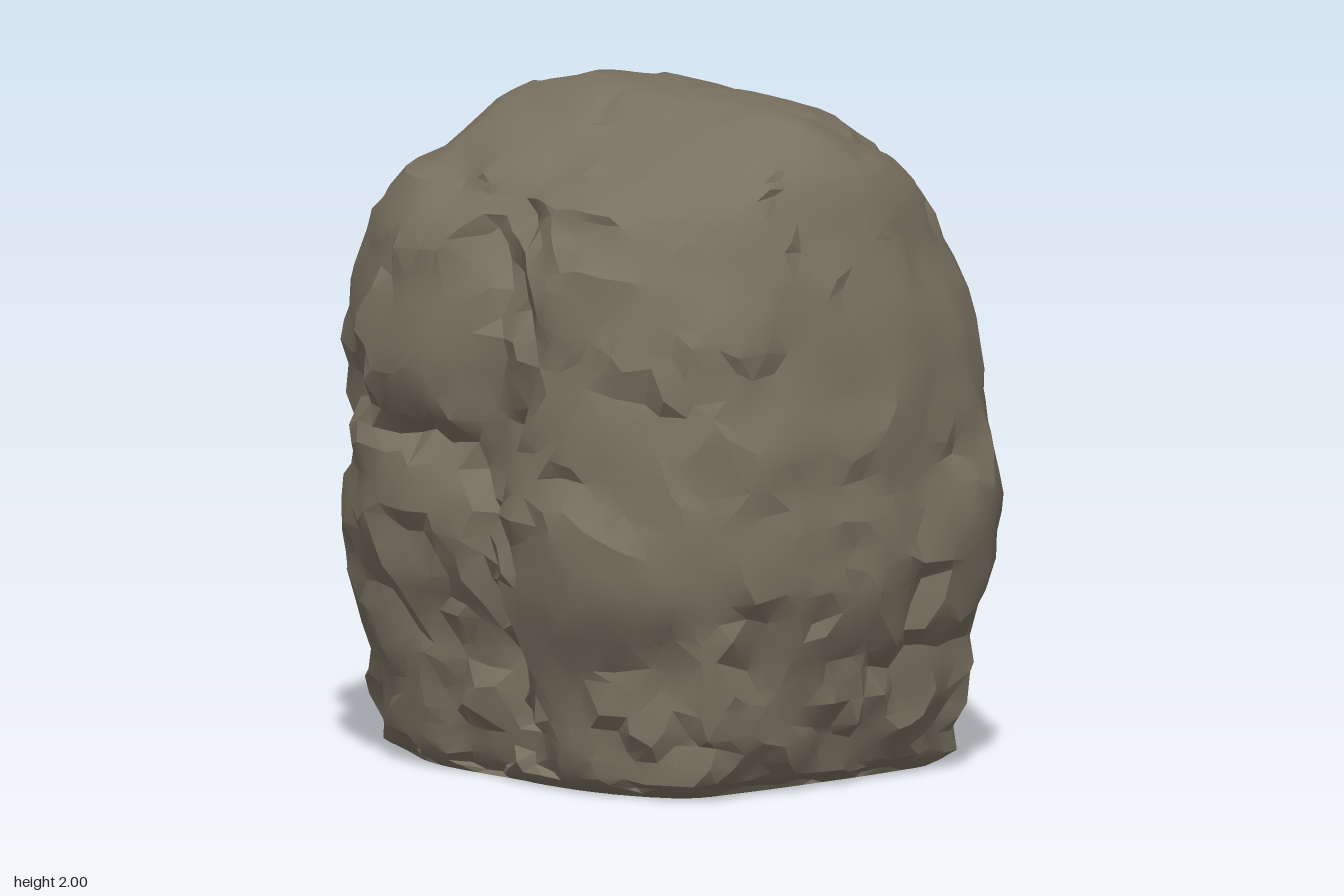
import * as THREE from 'three';
import { toCreasedNormals } from 'three/addons/utils/BufferGeometryUtils.js';

// plan outline (x, z), front half; the back half mirrors it
const FRONT = [[0.88, 0], [0.85, 0.3], [0.79, 0.55], [0.6, 0.71], [0.4, 0.81], [0.2, 0.825], [0.1, 0.795],
  [0.01, 0.755], [-0.08, 0.775], [-0.2, 0.79], [-0.55, 0.765], [-0.78, 0.61], [-0.86, 0.42], [-0.88, 0]];
// squarer outline of the foot, without the notch between the lobes
const FOOT = [[0.88, 0], [0.87, 0.4], [0.83, 0.65], [0.62, 0.77], [0.4, 0.82], [0.2, 0.83], [0.1, 0.83],
  [0.01, 0.82], [-0.08, 0.82], [-0.2, 0.82], [-0.6, 0.78], [-0.83, 0.66], [-0.87, 0.42], [-0.88, 0]];
// height, then reach to -x, +x, +z, -z
const LEVELS = [
  [0, 0.62, 0.62, 0.62, 0.6], [0.05, 0.73, 0.7, 0.66, 0.65], [0.2, 0.8, 0.76, 0.7, 0.69],
  [0.4, 0.85, 0.82, 0.74, 0.75], [0.6, 0.865, 0.87, 0.82, 0.82], [0.8, 0.87, 0.88, 0.83, 0.825],
  [1, 0.88, 0.865, 0.79, 0.79], [1.2, 0.87, 0.835, 0.79, 0.775], [1.4, 0.845, 0.805, 0.765, 0.765],
  [1.6, 0.81, 0.75, 0.715, 0.73], [1.72, 0.76, 0.71, 0.66, 0.67], [1.81, 0.71, 0.67, 0.5, 0.57],
  [1.91, 0.64, 0.61, 0.3, 0.45], [1.97, 0.52, 0.53, 0.19, 0.28], [2, 0.34, 0.44, 0.07, 0.1]];
// cracks on the front and back faces as (x, y) paths, with depth and width
const FACE_CRACKS = [
  { d: 0.06, w: 0.07, p: [[-0.1, 1.62], [0.05, 1.5], [0.18, 1.35], [0.17, 1.15], [0.04, 1], [0, 0.75], [0.01, 0.58], [0.07, 0.4], [0.08, 0.15]] },
  { d: 0.065, w: 0.075, p: [[-0.75, 1.12], [-0.6, 1.06], [-0.4, 0.99], [-0.2, 1.01], [0, 0.9]] },
  { d: 0.035, w: 0.05, p: [[0.18, 1.32], [0.4, 1.25], [0.55, 1.18]] },
  { d: 0.03, w: 0.05, p: [[-0.7, 0.86], [-0.56, 0.62], [-0.45, 0.48]] },
  { d: 0.03, w: 0.05, p: [[0, 0.6], [-0.12, 0.64], [-0.25, 0.52]] },
  { d: 0.05, w: 0.07, p: [[-0.45, 1.8], [-0.28, 1.7], [-0.1, 1.72], [0.15, 1.62]] },
  { d: 0.03, w: 0.05, p: [[-0.5, 1.2], [-0.43, 1.45]] }];
// cracks on the +x side as (z, y) paths
const SIDE_CRACKS = [
  { d: 0.025, w: 0.05, p: [[-0.2, 0.2], [-0.2, 0.45], [-0.26, 0.7], [-0.38, 0.98]] },
  { d: 0.025, w: 0.05, p: [[0.6, 0.5], [0.3, 0.35], [0.05, 0.4], [-0.15, 0.33]] }];

function seeded(seed) {
  return () => {
    seed = (seed * 1664525 + 1013904223) >>> 0;
    return seed / 4294967296;
  };
}

function closedRing(half) {
  const back = half.slice(1, -1).reverse().map(([x, z]) => [x, -z]);
  return new THREE.CatmullRomCurve3([...half, ...back].map(([x, z]) => new THREE.Vector3(x, 0, z)), true);
}

function distanceToPath(u, v, path) {
  let best = Infinity;
  for (let i = 0; i < path.length - 1; i++) {
    const [ax, ay] = path[i], dx = path[i + 1][0] - ax, dy = path[i + 1][1] - ay;
    const t = THREE.MathUtils.clamp(((u - ax) * dx + (v - ay) * dy) / (dx * dx + dy * dy), 0, 1);
    best = Math.min(best, Math.hypot(u - ax - t * dx, v - ay - t * dy));
  }
  return best;
}

function crackDepth(u, v, cracks) {
  return Math.max(...cracks.map(c => c.d * Math.max(0, 1 - distanceToPath(u, v, c.p) / c.w)));
}

function levelAt(t) {
  const i = Math.min(Math.floor(t), LEVELS.length - 2);
  return LEVELS[i].map((a, k) => THREE.MathUtils.lerp(a, LEVELS[i + 1][k], t - i));
}

// chipped facets: each cell of the surface is tilted slightly its own way
function makeCells(rand) {
  const cells = [];
  for (let i = 0; i < 300; i++) {
    const a = rand() * Math.PI * 2;
    const y = i % 3 === 0 ? rand() * 0.38 : rand() * 2;
    const tilt = y < 0.38 ? 0.9 : 0.4;
    const r = y > 1.75 ? rand() * 0.7 : 0.8;
    cells.push({
      seed: new THREE.Vector3(Math.cos(a) * r, y, Math.sin(a) * r),
      tilt: new THREE.Vector3(rand() - 0.5, rand() - 0.5, rand() - 0.5).multiplyScalar(tilt),
    });
  }
  return cells;
}

function chip(p, cells) {
  let near = cells[0], best = Infinity;
  for (const c of cells) {
    const d = c.seed.distanceToSquared(p);
    if (d < best) { best = d; near = c; }
  }
  const h = p.clone().sub(near.seed).dot(near.tilt);
  return THREE.MathUtils.clamp(h, -0.022, 0.015);
}

function boulderGeometry() {
  const { smoothstep, lerp, clamp } = THREE.MathUtils;
  const rand = seeded(17), cells = makeCells(rand);
  const body = closedRing(FRONT), foot = closedRing(FOOT);
  const N = 68, SUB = 3, rows = (LEVELS.length - 1) * SUB;
  const pos = [], index = [];
  for (let i = 0; i <= rows; i++) {
    for (let j = 0; j < N; j++) {
      const edge = i === 0 || i === rows;
      const shift = edge ? 0 : (rand() - 0.5) * 0.7;
      const u = ((j + (i % 2) * 0.5 + (rand() - 0.5) * 0.5) / N + 1) % 1;
      const [y, xl, xr, zf, zb] = levelAt(clamp((i + shift) / SUB, 0, LEVELS.length - 1));
      const o = foot.getPointAt(u).lerp(body.getPointAt(u), smoothstep(y, 0, 0.45));
      // corners grow rounder towards the top, more so at the back
      const corner = lerp(0.5, 1.1, smoothstep(-o.z, -0.1, 0.3)) * smoothstep(y, lerp(1.5, 1.3, smoothstep(-o.z, -0.1, 0.3)), 1.85);
      const round = Math.max(0.97, Math.hypot(o.x / 0.88, o.z / 0.83)) ** -corner;
      const p = new THREE.Vector3(
        o.x * round * (o.x > 0 ? xr : xl) / 0.88, y,
        o.z * round * (o.z > 0 ? zf : zb) / 0.83);
      // separate lobes: upper left stands out, lower left and upper right sit back
      const upper = smoothstep(y, 0.95, 1.25), right = smoothstep(p.x, -0.1, 0.2);
      p.z *= lerp(lerp(0.99, 1.04, upper), lerp(1, 0.98, upper), right);
      // cracks
      const face = smoothstep(Math.abs(p.z), 0.35, 0.6);
      p.z -= Math.sign(p.z) * face * crackDepth(p.x, y, FACE_CRACKS);
      if (p.x > 0) p.x -= smoothstep(p.x, 0.55, 0.7) * crackDepth(p.z, y, SIDE_CRACKS);
      // facets
      if (!edge) {
        const h = chip(p, cells), flat = Math.hypot(p.x, p.z) || 1, top = smoothstep(y, 1.75, 1.95);
        p.x += p.x / flat * h * (1 - top);
        p.z += p.z / flat * h * (1 - top);
        p.y += h * top * 0.6;
      }
      // the top falls gently towards +x
      p.y -= 0.05 * Math.max(0, p.x + 0.3) * smoothstep(y, 1.75, 1.95);
      pos.push(p.x, clamp(p.y, 0, 2), p.z);
    }
  }
  const at = (i, j) => i * N + (j % N);
  for (let i = 0; i < rows; i++) {
    for (let j = 0; j < N; j++) {
      const a = at(i, j), b = at(i, j + 1), c = at(i + 1, j), d = at(i + 1, j + 1);
      if (i % 2) index.push(a, d, b, a, c, d);
      else index.push(a, c, b, b, c, d);
    }
  }
  // flat base and crown
  const base = pos.length / 3, crown = base + 1;
  pos.push(0, 0, 0, 0, 1.985, 0);
  for (let j = 0; j < N; j++) {
    index.push(base, at(0, j), at(0, j + 1), crown, at(rows, j + 1), at(rows, j));
  }
  const g = new THREE.BufferGeometry();
  g.setAttribute('position', new THREE.Float32BufferAttribute(pos, 3));
  g.setIndex(index);
  return toCreasedNormals(g, 0.42);
}

export function createModel() {
  const model = new THREE.Group();
  model.name = 'rock';
  const stone = new THREE.MeshStandardMaterial({ color: 0x787060 });
  stone.name = 'stone';
  const boulder = new THREE.Mesh(boulderGeometry(), stone);
  boulder.name = 'boulder';
  model.add(boulder);
  return model;
}
